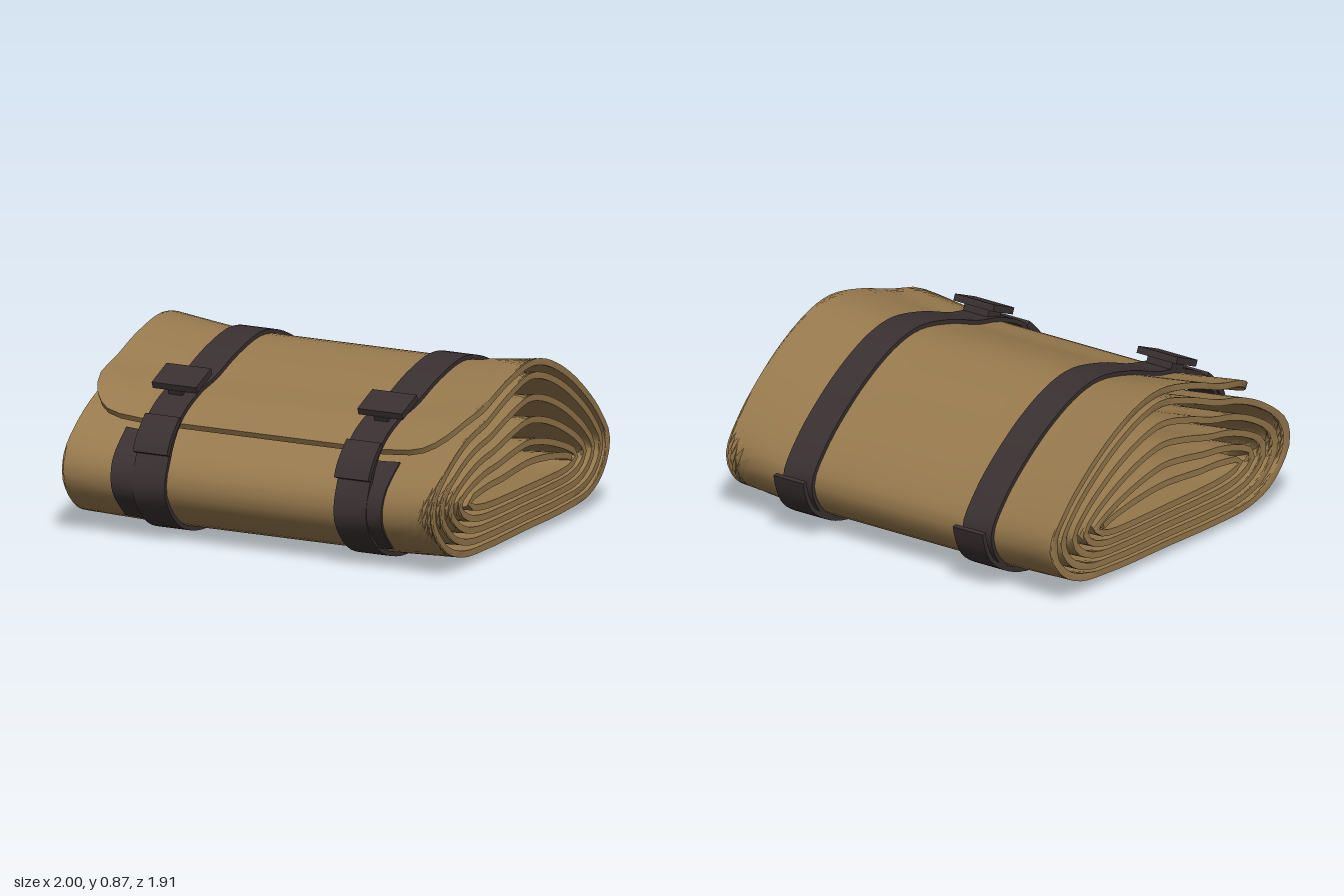
import * as THREE from 'three';
import { toCreasedNormals } from 'three/addons/utils/BufferGeometryUtils.js';

const toVectors = (pairs) => pairs.map(([z, y]) => new THREE.Vector2(z, y));

// Outline of one turn of the roll as [z, y]: over the top, down the back, along the bottom, up the front
const OUTLINE = toVectors([
  [0.8, 0.56], [0.6, 0.665], [0.42, 0.715], [0.2, 0.805], [-0.04, 0.873], [-0.2, 0.85], [-0.4, 0.765],
  [-0.6, 0.635], [-0.78, 0.475], [-0.875, 0.33], [-0.82, 0.2], [-0.68, 0.115], [-0.4, 0.085], [0, 0.078],
  [0.4, 0.07], [0.65, 0.08], [0.83, 0.145], [0.96, 0.3], [0.95, 0.42],
]);

// Spiral from the flap edge to the core: each turn shrinks towards a flat middle fold
const SPIRAL = Array.from({ length: 105 }, (_, r) => {
  const p = OUTLINE[r % OUTLINE.length];
  const s = THREE.MathUtils.clamp((r - 12) / 85, 0, 1);
  const flapLift = r < 4 ? 0.055 * (1 - (r / 4) ** 2) : 0;
  return new THREE.Vector2(0.03 + (p.x - 0.03) * (1 - 0.43 * s), 0.32 + (p.y - 0.32) * (1 - 0.87 * s) + flapLift);
});

// The roll is pinched in by the straps and flares towards both ends
function pinch(p, x) {
  const f = Math.max(0, (Math.abs(x) - 0.63) / 0.37);
  const y = THREE.MathUtils.lerp(p.y * 0.965 - 0.018, p.y, f);
  let z = THREE.MathUtils.lerp(p.x * 0.965 - 0.005, p.x, f);
  if (x > 0 && z < 0) z *= 1 - 0.04 * f;
  return new THREE.Vector2(z, y);
}

// Move a path sideways by d, towards the outside of the roll
function offset(path, d) {
  return path.map((p, i) => {
    const a = path[Math.max(i - 1, 0)], b = path[Math.min(i + 1, path.length - 1)];
    const t = b.clone().sub(a).normalize();
    return new THREE.Vector2(p.x + t.y * d, p.y - t.x * d);
  });
}

// Smooth curve through points; the result samples it evenly from a given start
function smooth(points, n, closed = false) {
  const c = new THREE.CatmullRomCurve3(points.map((p) => new THREE.Vector3(p.x, p.y, 0)), closed, 'centripetal');
  c.arcLengthDivisions = 1200;
  return (from) => Array.from({ length: n + 1 }, (_, i) => {
    const q = c.getPointAt(Math.min(1, from + (1 - from) * i / n));
    return new THREE.Vector2(q.x, q.y);
  });
}

// Loft a thick ribbon across x; pathAt(x) gives its centreline as (z, y)
function ribbon(stations, pathAt, thickness) {
  const pos = [], index = [];
  let n = 0;
  for (const x of stations) {
    const path = pathAt(x);
    n = path.length;
    const ring = [...offset(path, thickness / 2), ...offset(path, -thickness / 2).reverse()];
    ring.forEach((p) => pos.push(x, p.y, p.x));
  }
  const m = 2 * n, last = (stations.length - 1) * m;
  const quad = (a, b, c, d) => index.push(a, b, c, a, c, d);
  for (let s = 0; s < last; s += m) {
    for (let i = 0; i < m; i++) {
      const j = (i + 1) % m;
      quad(s + i, s + m + i, s + m + j, s + j);
    }
  }
  for (let i = 0; i < n - 1; i++) {
    quad(i, i + 1, m - 2 - i, m - 1 - i);
    quad(last + m - 1 - i, last + m - 2 - i, last + i + 1, last + i);
  }
  const g = new THREE.BufferGeometry();
  g.setAttribute('position', new THREE.Float32BufferAttribute(pos, 3));
  g.setIndex(index);
  return toCreasedNormals(g, 0.8);
}

export function createModel() {
  const model = new THREE.Group();
  const canvas = new THREE.MeshStandardMaterial({ color: 0x97794d });
  canvas.name = 'tan canvas';
  const leather = new THREE.MeshStandardMaterial({ color: 0x3a3031 });
  leather.name = 'dark leather';
  const add = (parent, name, geometry, material) => {
    const mesh = new THREE.Mesh(geometry, material);
    mesh.name = name;
    parent.add(mesh);
    return mesh;
  };

  // Rolled sheet, with the flap corners rounded off at both ends
  const half = [0.3, 0.63, 0.7, 0.78, 0.85, 0.9, 0.94, 0.97, 0.99, 1];
  const stations = [...half.map((x) => -x).reverse(), 0, ...half];
  const spiral = smooth(SPIRAL, 320);
  const sheetPath = (x) => {
    const t = Math.max(0, (Math.abs(x) - 0.78) / 0.22);
    const trim = 0.02 * (1 - Math.sqrt(1 - t * t));
    return spiral(trim).map((p) => pinch(p, x));
  };
  add(model, 'rolledSheet', ribbon(stations, sheetPath, 0.032), canvas);

  // The straps follow the outer turn of the roll
  const outerTurn = SPIRAL.slice(0, OUTLINE.length).map((p) => pinch(p, 0));
  const strapPath = smooth(offset(outerTurn, 0.026), 90, true)(0);
  const lapPath = smooth(toVectors(
    [[-0.945, 0.335], [-0.925, 0.26], [-0.88, 0.18], [-0.79, 0.115], [-0.66, 0.065], [-0.5, 0.05]]), 14)(0);
  const keeperPath = smooth(toVectors([[0.91, 0.46], [0.89, 0.505], [0.845, 0.56], [0.785, 0.615]]), 6)(0);
  // Loose strap tail lying on the front of the roll
  const tailPath = smooth(SPIRAL.slice(16, 20), 20)(0);

  for (const side of [-1, 1]) {
    const strap = new THREE.Group();
    strap.name = side > 0 ? 'leftStrap' : 'rightStrap';
    model.add(strap);
    const across = (w) => [side * 0.543 - w / 2, side * 0.543 + w / 2];

    add(strap, 'strapLoop', ribbon(across(0.175), () => strapPath, 0.022), leather);
    add(strap, 'strapOverlap', ribbon(across(0.18), () => lapPath, 0.024), leather);
    add(strap, 'strapKeeper', ribbon(across(0.185), () => keeperPath, 0.03), leather);

    const tailX = side < 0 ? -0.685 : 0.655;
    const tail = ribbon([-0.06, 0, 0.06].map((d) => tailX + d),
      (x) => offset(tailPath.map((p) => pinch(p, x)), 0.022), 0.014);
    // Lean the tail slightly outwards at the top
    const p = tail.attributes.position;
    for (let i = 0; i < p.count; i++) p.setX(i, p.getX(i) + side * 0.04 * (p.getY(i) - 0.35));
    add(strap, 'strapTail', tail, leather);

    // Buckle plate with a small tongue, tilted with the flap
    const buckle = new THREE.Group();
    buckle.name = 'buckle';
    buckle.position.set(side * 0.555, 0.757, 0.573);
    buckle.rotation.x = 0.38;
    strap.add(buckle);
    add(buckle, 'bucklePlate', new THREE.BoxGeometry(0.24, 0.034, 0.165), leather);
    add(buckle, 'buckleBase', new THREE.BoxGeometry(0.15, 0.05, 0.1), leather).position.set(0, -0.035, 0);
    add(buckle, 'buckleTongue', new THREE.BoxGeometry(0.075, 0.04, 0.07), leather).position.set(0, -0.035, 0.05);
  }
  return model;
}
